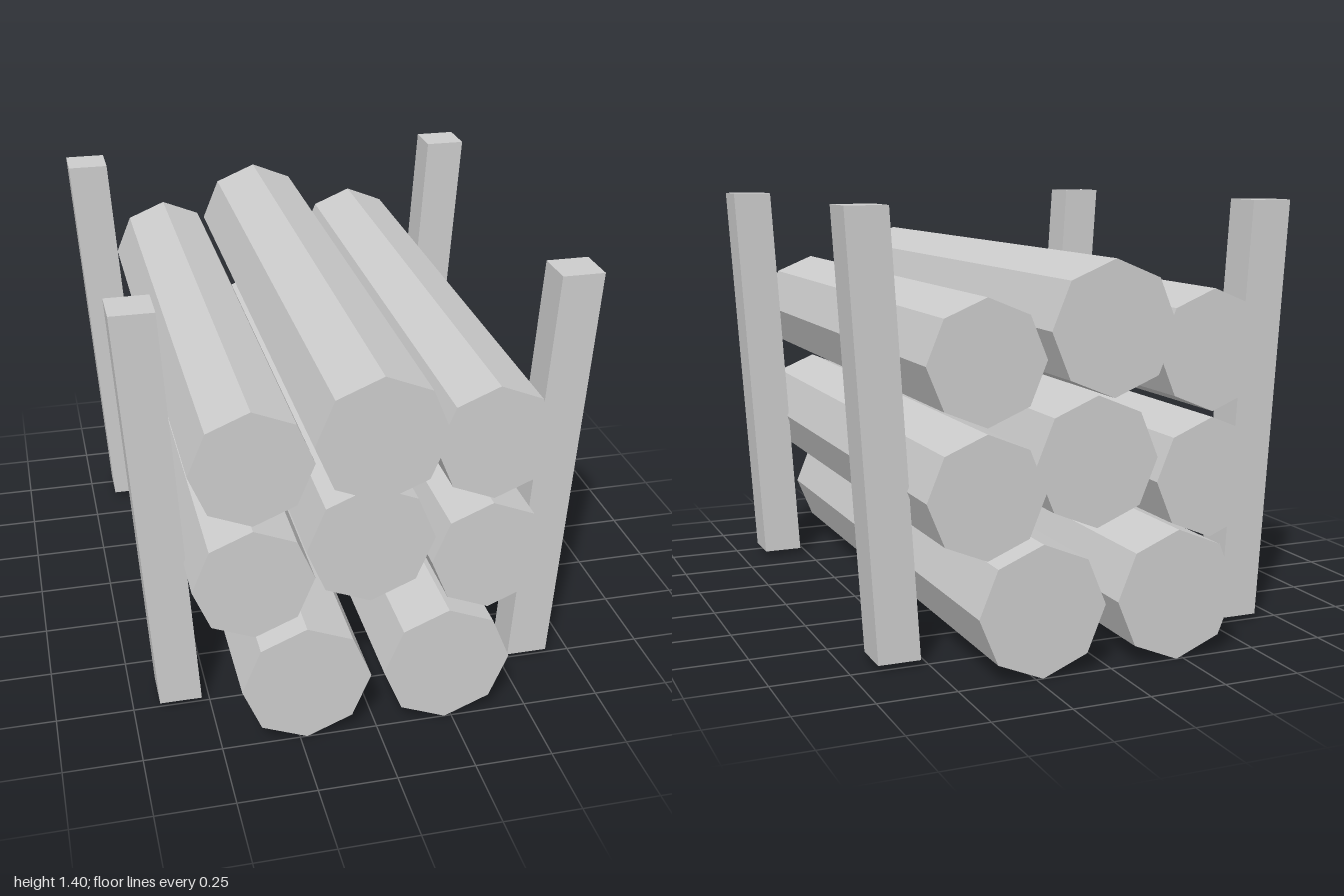
import * as THREE from 'three';

const material = new THREE.MeshStandardMaterial({ color: 0xcccccc, flatShading: true });

// Eight-sided log lying along z, with a corner pointing up
function makeLog(name, x, y, radius, length) {
  const geometry = new THREE.CylinderGeometry(radius, radius, length, 8);
  geometry.rotateX(Math.PI / 2);
  const log = new THREE.Mesh(geometry, material);
  log.name = name;
  log.position.set(x, y, 0);
  return log;
}

// Square post leaning outwards, with level top and bottom
function makePost(name, side, z) {
  const height = 1.38, width = 0.137, lean = 0.0875;
  const geometry = new THREE.BoxGeometry(width, height, width);
  const pos = geometry.attributes.position;
  for (let i = 0; i < pos.count; i++) {
    pos.setX(i, pos.getX(i) + side * lean * (pos.getY(i) / height));
  }
  geometry.computeVertexNormals();
  const post = new THREE.Mesh(geometry, material);
  post.name = name;
  post.position.set(side * 0.6395, 0.022 + height / 2, z);
  return post;
}

export function createModel() {
  const model = new THREE.Group();
  model.name = 'logStack';

  // Centre logs
  model.add(makeLog('middleCentreLog', 0, 0.622, 0.206, 1.79));
  model.add(makeLog('topCentreLog', 0, 1.042, 0.206, 2));

  // Mirrored logs and posts
  for (const [label, side] of [['left', 1], ['right', -1]]) {
    model.add(makeLog(label + 'BottomLog', side * 0.227, 0.208, 0.206, 2));
    model.add(makeLog(label + 'MiddleLog', side * 0.377, 0.551, 0.191, 1.86));
    model.add(makeLog(label + 'TopLog', side * 0.377, 0.951, 0.191, 1.86));
    model.add(makePost(label + 'FrontPost', side, 0.692));
    model.add(makePost(label + 'BackPost', side, -0.692));
  }
  return model;
}
